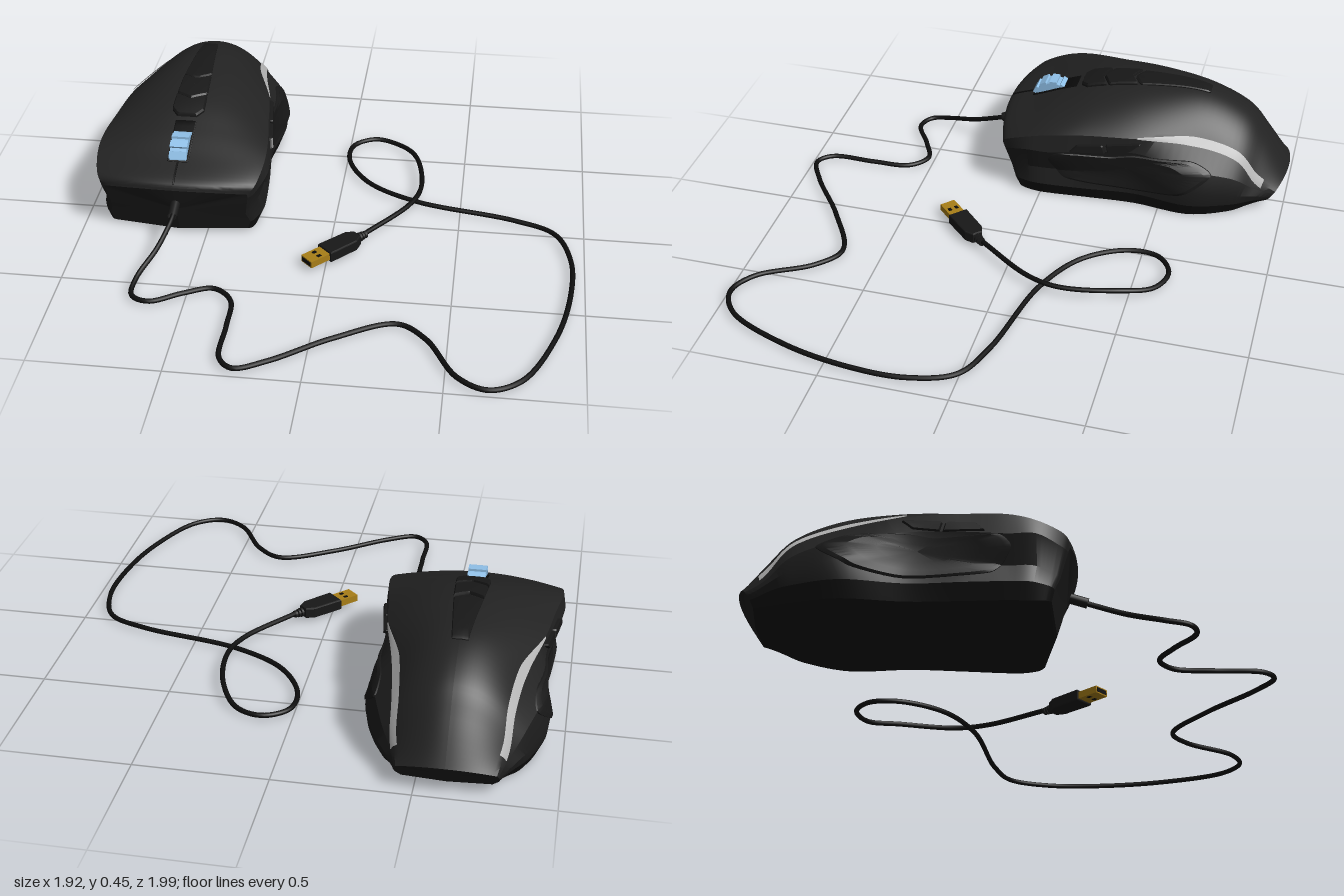
import * as THREE from 'three';
import { toCreasedNormals } from 'three/addons/utils/BufferGeometryUtils.js';

const paint = (color) => new THREE.MeshStandardMaterial({ color, side: THREE.DoubleSide });
const shellMat = paint(0x222222), sideMat = paint(0x1c1c1c), baseMat = paint(0x121212);
const trimMat = paint(0x181818), blackMat = paint(0x0a0a0a), cableMat = paint(0x0d0d0d);
const silverMat = paint(0xb4b4b4), blueMat = paint(0x8fc0e8), goldMat = paint(0xa87e18);

// Body stations, front to back: zTop, zBottom, end curve, ridge height, then
// x,y of shoulder, lip, waist, flange and bottom edge
const STATIONS = [
  [0.21, 0.13, -0.04, 0.24, 0.285, 0.215, 0.285, 0.195, 0.27, 0.10, 0.285, 0.05, 0.27, 0.01],
  [0.19, 0.11, -0.035, 0.27, 0.315, 0.25, 0.31, 0.205, 0.288, 0.11, 0.303, 0.055, 0.29, 0.005],
  [0.07, 0.03, -0.01, 0.315, 0.335, 0.29, 0.345, 0.235, 0.31, 0.13, 0.325, 0.06, 0.30, 0],
  [-0.05, -0.06, 0, 0.365, 0.335, 0.315, 0.342, 0.235, 0.305, 0.13, 0.325, 0.06, 0.30, 0],
  [-0.2, -0.2, 0, 0.415, 0.315, 0.325, 0.322, 0.25, 0.295, 0.14, 0.315, 0.06, 0.29, 0],
  [-0.4, -0.4, 0, 0.443, 0.287, 0.325, 0.296, 0.26, 0.288, 0.14, 0.298, 0.06, 0.28, 0],
  [-0.62, -0.62, 0, 0.437, 0.225, 0.31, 0.305, 0.22, 0.333, 0.13, 0.325, 0.06, 0.30, 0],
  [-0.8, -0.78, 0, 0.365, 0.2, 0.255, 0.26, 0.18, 0.285, 0.11, 0.277, 0.06, 0.25, 0.008],
  [-0.9, -0.86, 0.01, 0.26, 0.195, 0.155, 0.215, 0.12, 0.235, 0.09, 0.23, 0.06, 0.20, 0.02],
  [-1.0, -0.92, 0.04, 0.12, 0.175, 0.09, 0.18, 0.08, 0.185, 0.065, 0.18, 0.05, 0.16, 0.03],
];
const LAST = STATIONS.length - 1;
const ARCH = 14, POWER = 2.1;

// Smooth station values at position u in 0..LAST
function stationAt(u) {
  const i = Math.min(Math.floor(u), LAST - 1), t = u - i;
  const at = (k) => STATIONS[THREE.MathUtils.clamp(k, 0, LAST)];
  const [a, b, c, d] = [at(i - 1), at(i), at(i + 1), at(i + 2)];
  return b.map((p, k) => p + 0.5 * t * (c[k] - a[k] +
    t * (2 * a[k] - 5 * p + 4 * c[k] - d[k] + t * (3 * (p - c[k]) + d[k] - a[k]))));
}
function stationAtZ(z) {
  let lo = 0, hi = LAST;
  for (let k = 0; k < 24; k++) {
    const mid = (lo + hi) / 2;
    if (stationAt(mid)[0] > z) lo = mid; else hi = mid;
  }
  return stationAt(lo);
}
// Half cross-section from ridge to underside centre
function section(s) {
  const pts = [];
  const add = (x, y) => pts.push(new THREE.Vector3(x, y,
    s[0] + (s[1] - s[0]) * THREE.MathUtils.clamp((s[3] - y) / s[3], 0, 1) + s[2] * (x / 0.3) ** 2));
  for (let k = 0; k <= ARCH; k++) {
    const f = k / ARCH;
    add(s[4] * f, s[3] - (s[3] - s[5]) * f ** POWER);
  }
  for (let k = 6; k < 14; k += 2) add(s[k], s[k + 1]);
  add(0, s[13]);
  return pts;
}
// Surface lookups for parts laid on the body
function onTop(x, z, off) {
  const s = stationAtZ(z);
  return new THREE.Vector3(x, s[3] - (s[3] - s[5]) * Math.min(1, Math.abs(x) / s[4]) ** POWER + off, z);
}
function onSide(z, y, off) {
  const s = stationAtZ(z);
  let x = s[4];
  for (let k = 4; k < 10; k += 2) {
    if (y <= s[k + 1] && y >= s[k + 3]) {
      x = THREE.MathUtils.mapLinear(y, s[k + 1], s[k + 3], s[k], s[k + 2]);
    }
  }
  return new THREE.Vector3(x + off, y, z);
}

// Surface through a grid of points
function grid(rows, crease = 0.5) {
  const n = rows[0].length, index = [];
  for (let i = 0; i < rows.length - 1; i++) {
    for (let j = 0; j < n - 1; j++) {
      const a = i * n + j;
      index.push(a, a + 1, a + n, a + 1, a + n + 1, a + n);
    }
  }
  const g = new THREE.BufferGeometry().setFromPoints(rows.flat());
  g.setIndex(index);
  return toCreasedNormals(g, crease);
}
// Raised pad with a bevelled rim, laid on a surface
function pad(outline, place, height, smooth = false) {
  const v = outline.map(([a, b]) => new THREE.Vector3(a, b, 0));
  const path = smooth ? new THREE.CatmullRomCurve3(v, true, 'catmullrom', 0.3) : new THREE.CurvePath();
  if (!smooth) v.forEach((p, i) => path.add(new THREE.LineCurve3(p, v[(i + 1) % v.length])));
  const ring = [];
  for (let i = 0; i <= v.length * 8; i++) ring.push(path.getPoint((i % (v.length * 8)) / (v.length * 8)));
  const c = v.reduce((sum, p) => sum.add(p), new THREE.Vector3()).divideScalar(v.length);
  const levels = [[1, -0.006], [1, height * 0.5], [0.93, height], [0.7, height], [0.4, height], [0.01, height]];
  return grid(levels.map(([k, off]) => ring.map((p) => {
    const q = c.clone().lerp(p, k);
    return place(q.x, q.y, off);
  })), 0.4);
}

export function createModel() {
  const model = new THREE.Group();
  const mouse = new THREE.Group();
  mouse.name = 'mouse';
  mouse.position.x = -0.611;
  model.add(mouse);
  const add = (parent, name, geometry, material) => {
    const mesh = new THREE.Mesh(geometry, material);
    mesh.name = name;
    parent.add(mesh);
    return mesh;
  };

  // Body halves: shell, side walls, base, end caps, stripe, grip and thumb buttons
  const rows = [];
  for (let i = 0; i <= LAST * 6; i++) rows.push(section(stationAt(i / 6)));
  const band = (from, to) => grid(rows.map((r) => r.slice(from, to + 1)));
  const cap = (row, y, z) => [0.01, 0.5, 1].map((k) => row.map((p) => new THREE.Vector3(0, y, z).lerp(p, k)));
  const stripe = [];
  for (let i = 0; i <= 30; i++) {
    const s = stationAtZ(-0.4 - 0.54 * i / 30), p = section(s);
    const w = 0.004 + 0.016 * Math.min(1, i / 12);
    const S = p[ARCH], step = (q) => S.clone().add(q.clone().sub(S).setLength(w));
    const lift = new THREE.Vector3(0.004, 0.005, -0.001);
    stripe.push([step(p[ARCH - 2]), S, step(p[ARCH + 1])].map((q) => q.clone().add(lift)));
  }
  const gripOutline = [[-0.04, 0.19], [-0.09, 0.235], [-0.29, 0.232], [-0.4, 0.25], [-0.62, 0.25],
    [-0.71, 0.2], [-0.59, 0.11], [-0.4, 0.08], [-0.11, 0.1]];
  const parts = [
    ['topShell', band(0, ARCH + 1), shellMat],
    ['sideWall', band(ARCH + 1, ARCH + 3), sideMat],
    ['base', band(ARCH + 3, ARCH + 5), baseMat],
    ['frontFace', grid(cap(rows[0], 0.13, 0.17)), sideMat],
    ['rearFace', grid(cap(rows[rows.length - 1], 0.075, -0.97).reverse()), sideMat],
    ['silverStripe', grid(stripe, 0.8), silverMat],
    ['sideGrip', pad(gripOutline, onSide, 0.009, true), trimMat],
    ['frontThumbButton', pad([[-0.13, 0.25], [-0.16, 0.282], [-0.265, 0.29], [-0.275, 0.255]], onSide, 0.013), trimMat],
    ['rearThumbButton', pad([[-0.285, 0.257], [-0.275, 0.292], [-0.42, 0.308], [-0.38, 0.272]], onSide, 0.013), trimMat],
  ];
  for (const side of [1, -1]) {
    const half = new THREE.Group();
    half.name = side > 0 ? 'leftHalf' : 'rightHalf';
    half.scale.x = side;
    parts.forEach(([name, g, m]) => add(half, name, g, m));
    mouse.add(half);
  }

  // Centre spine with two buttons, wheel slot and button seam
  add(mouse, 'spine', pad([[-0.03, -0.65], [0.03, -0.65], [0.055, -0.36], [0, -0.33], [-0.055, -0.36]], onTop, 0.008), trimMat);
  add(mouse, 'rearTopButton', pad([[-0.056, -0.35], [0, -0.32], [0.056, -0.35], [0.062, -0.23], [0, -0.2], [-0.062, -0.23]], onTop, 0.013), trimMat);
  add(mouse, 'frontTopButton', pad([[-0.063, -0.22], [0, -0.19], [0.063, -0.22], [0.065, -0.14], [0.04, -0.11], [-0.04, -0.11], [-0.065, -0.14]], onTop, 0.016), trimMat);
  add(mouse, 'wheelSlot', pad([[-0.042, -0.09], [0.042, -0.09], [0.042, 0.1], [-0.042, 0.1]], onTop, 0.004), blackMat);
  add(mouse, 'buttonSeam', pad([[-0.004, 0.1], [0.004, 0.1], [0.004, 0.2], [-0.004, 0.2]], onTop, 0.003), blackMat);

  // Scroll wheel with raised treads
  const wheel = new THREE.Group();
  wheel.name = 'scrollWheel';
  wheel.position.set(0, 0.285, 0.015);
  mouse.add(wheel);
  add(wheel, 'wheelCore', new THREE.CylinderGeometry(0.084, 0.084, 0.066, 32).rotateZ(Math.PI / 2), blueMat);
  for (let i = 0; i < 12; i++) {
    const tread = add(wheel, 'wheelTread', new THREE.BoxGeometry(0.07, 0.014, 0.03).translate(0, 0.085, 0), blueMat);
    tread.rotation.x = i * Math.PI / 6;
  }

  // Cable resting on the ground, rising to the nose of the body
  const route = [[-0.7, 0.6], [-0.63, 0.63], [-0.51, 0.565], [-0.4, 0.522], [-0.325, 0.585], [-0.312, 0.74],
    [-0.305, 0.925], [-0.25, 0.975], [-0.13, 0.92], [0.085, 0.765], [0.31, 0.655], [0.42, 0.73], [0.545, 0.93],
    [0.655, 0.985], [0.77, 0.925], [0.89, 0.67], [0.945, 0.4], [0.945, 0.175], [0.88, 0.005], [0.72, -0.07],
    [0.32, -0.16], [0.11, -0.28], [0.01, -0.45], [0.02, -0.57], [0.11, -0.628], [0.215, -0.59], [0.295, -0.465],
    [0.332, -0.24], [0.295, -0.105], [0.13, 0.13]];
  const lead = [[-0.611, 0.17, 0.15], [-0.611, 0.14, 0.25], [-0.645, 0.085, 0.38], [-0.7, 0.035, 0.51]];
  const cablePoints = lead.concat(route.map(([x, z], i) => [x, i > 25 ? 0.04 : 0.018, z]))
    .map((p) => new THREE.Vector3(...p));
  add(model, 'cable', new THREE.TubeGeometry(new THREE.CatmullRomCurve3(cablePoints), 360, 0.01, 10), cableMat);
  const collar = new THREE.LineCurve3(new THREE.Vector3(0, 0.172, 0.15), new THREE.Vector3(0, 0.143, 0.245));
  add(mouse, 'cableCollar', new THREE.TubeGeometry(collar, 1, 0.019, 16), trimMat);

  // Plug: ribbed strain relief, grip and metal connector
  const plug = new THREE.Group();
  plug.name = 'plug';
  plug.position.set(0.14, 0.036, 0.12);
  plug.rotation.y = Math.atan2(-0.7, 0.71);
  model.add(plug);
  for (let i = 0; i < 4; i++) {
    const r = 0.015 + i * 0.002;
    add(plug, 'strainRib', new THREE.CylinderGeometry(r, r, 0.009, 14).rotateX(Math.PI / 2).translate(0, 0, 0.008 + i * 0.014), trimMat);
  }
  const grip = new THREE.Shape([[-0.018, 0.05], [0.018, 0.05], [0.034, 0.08], [0.036, 0.205], [-0.036, 0.205], [-0.034, 0.08]]
    .map(([x, y]) => new THREE.Vector2(x, y)));
  add(plug, 'plugGrip', new THREE.ExtrudeGeometry(grip, { depth: 0.036, bevelSize: 0.005, bevelThickness: 0.005, bevelSegments: 2 })
    .rotateX(Math.PI / 2).translate(0, 0.018, 0), trimMat);
  add(plug, 'connector', new THREE.BoxGeometry(0.064, 0.028, 0.09).translate(0, 0, 0.255), goldMat);
  add(plug, 'connectorMouth', new THREE.BoxGeometry(0.054, 0.018, 0.002).translate(0, 0, 0.3), blackMat);
  for (const x of [-0.015, 0.015]) {
    add(plug, 'connectorHole', new THREE.BoxGeometry(0.014, 0.03, 0.018).translate(x, 0, 0.25), blackMat);
  }
  return model;
}
